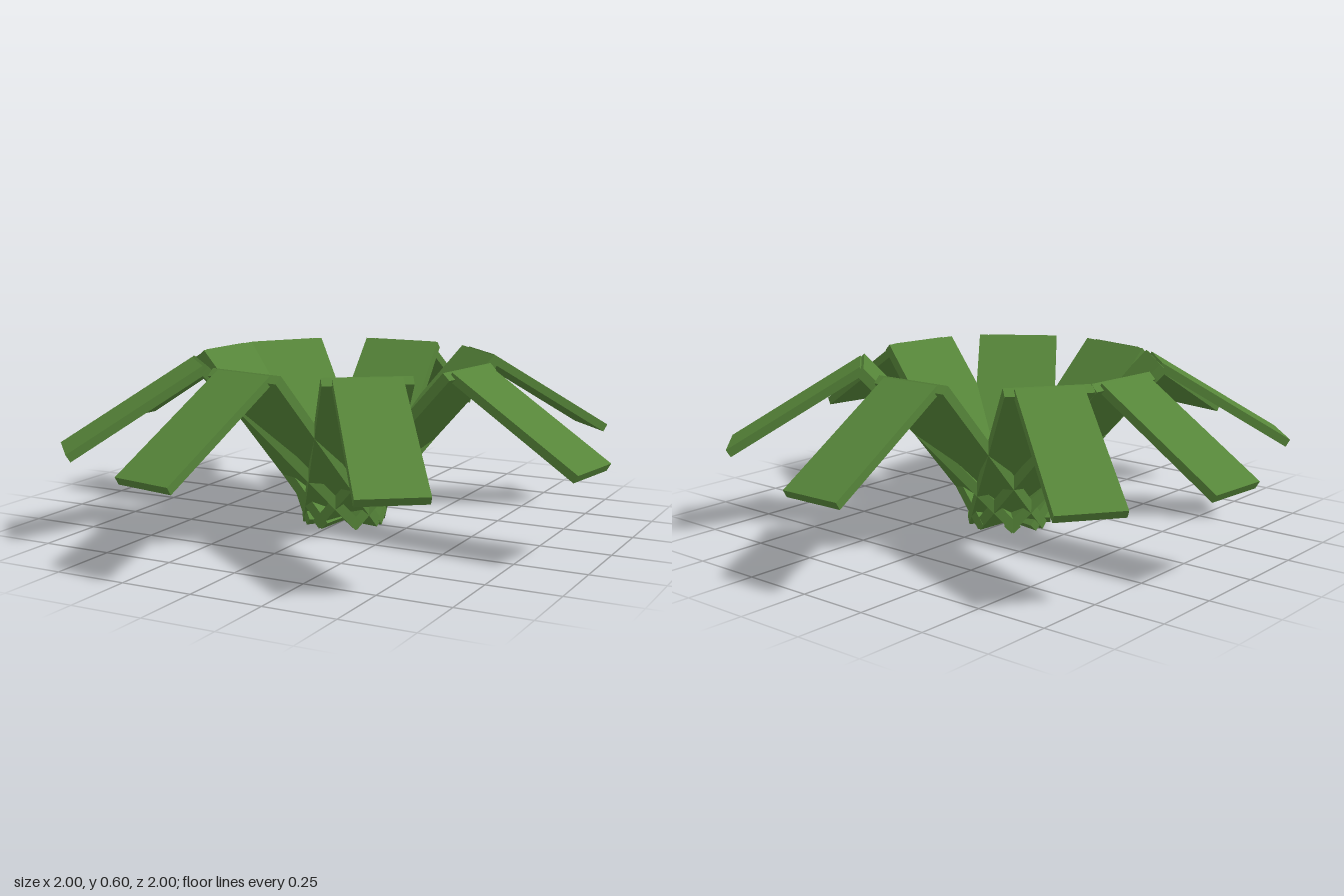
import * as THREE from 'three';

// Direction of each leaf in degrees, turning from +x towards +z
const DIRECTIONS = [9.3, 54.2, 100.9, 137, 184.8, 216.5, 268.2, 315];

const green = new THREE.MeshStandardMaterial({ color: 0x568539, flatShading: true });

// Flat plate whose centre line runs from (r0, y0) to (r1, y1) in the leaf's own plane
function plate(name, [r0, y0], [r1, y1], thickness, width) {
  const length = Math.hypot(r1 - r0, y1 - y0);
  const mesh = new THREE.Mesh(new THREE.BoxGeometry(length, thickness, width), green);
  mesh.position.set((r0 + r1) / 2, (y0 + y1) / 2, 0);
  mesh.rotation.z = Math.atan2(y1 - y0, r1 - r0);
  mesh.name = name;
  return mesh;
}

export function createModel() {
  const plant = new THREE.Group();
  plant.name = 'leafyPlant';

  DIRECTIONS.forEach((degrees, i) => {
    const leaf = new THREE.Group();
    leaf.name = `leaf${i + 1}`;
    // Wide blade rising from the root, then a narrower drooping tip
    leaf.add(plate('leafBase', [-0.013, 0.012], [0.527, 0.592], 0.035, 0.3));
    leaf.add(plate('leafTip', [0.52, 0.59], [0.987, 0.307], 0.03, 0.23));
    leaf.rotation.y = -THREE.MathUtils.degToRad(degrees);
    plant.add(leaf);
  });

  return plant;
}
